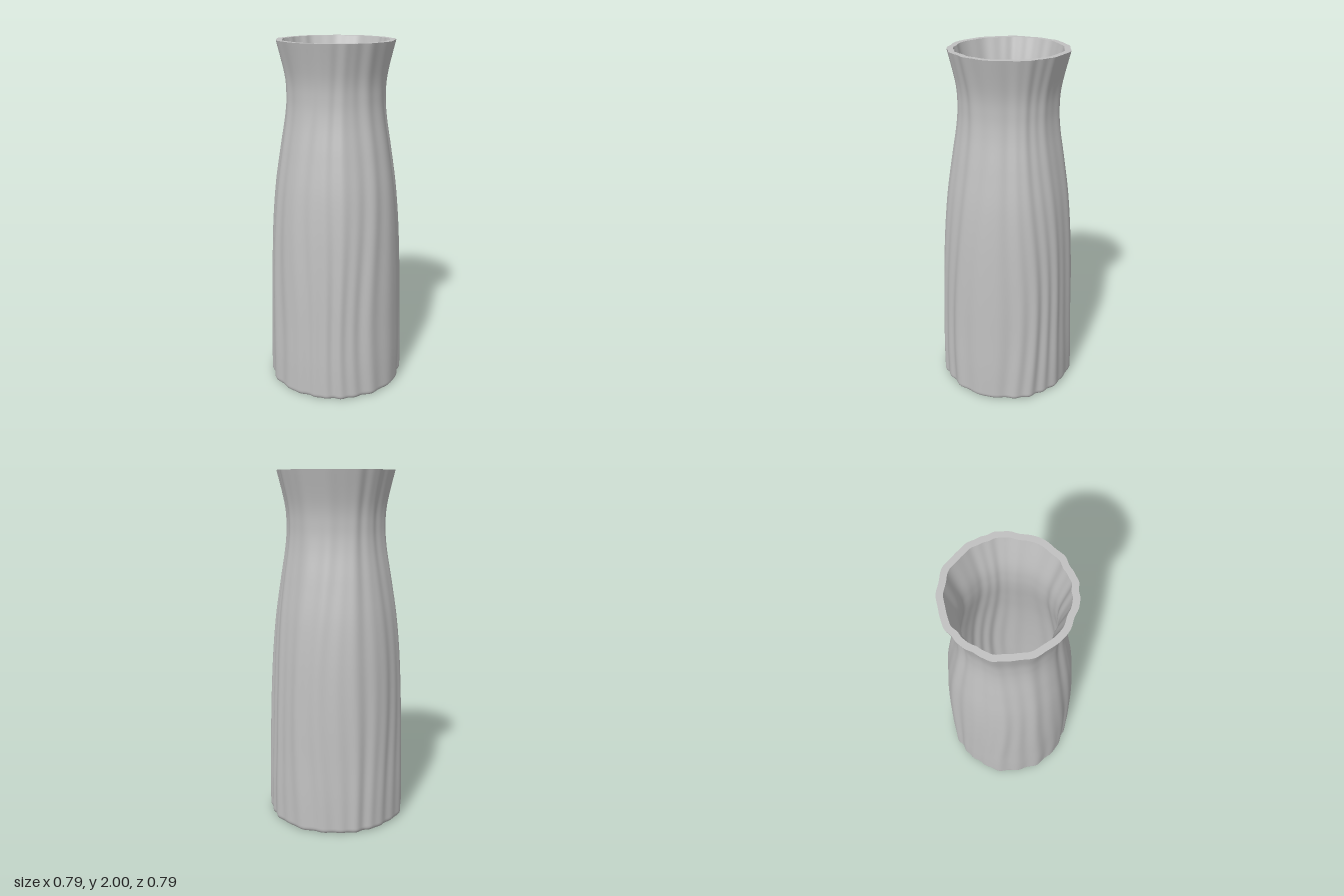
import * as THREE from 'three';

const SIDES = 288;

// Outer profile as (radius, height), with a small rounded foot
const outline = new THREE.SplineCurve([
  [0.392, 0.03], [0.391, 0.2], [0.386, 0.4], [0.381, 0.6], [0.373, 0.8], [0.361, 1.0], [0.342, 1.2],
  [0.313, 1.4], [0.285, 1.58], [0.277, 1.7], [0.286, 1.82], [0.328, 2.0],
].map(([r, y]) => new THREE.Vector2(r, y)));
const wall = outline.getPoints(90);
const foot = [[0.374, 0], [0.383, 0.003], [0.389, 0.011], [0.392, 0.02]]
  .map(([r, y]) => new THREE.Vector2(r, y));
const THICKNESS = 0.034;

// Irregular vertical flutes that wander and grow deeper towards the foot
function flutes(angle, y) {
  const a = angle + 0.05 * Math.sin(2.3 * y + 2 * angle) + 0.03 * Math.sin(4.1 * y - 3 * angle + 1);
  const low = 1 - THREE.MathUtils.smoothstep(y, 0.2, 1.7);
  const broad = 0.0035 * Math.sin(13 * a + 1.2 * Math.sin(2 * a)) + 0.0022 * Math.sin(7 * a + 2);
  const fine = Math.sin(24 * a + 1.6 * Math.sin(3 * a + 0.5)) * (0.7 + 0.3 * Math.sin(4 * a + 1));
  return broad + fine * (0.002 + 0.0035 * low);
}

// Wraps rows of { r, y, ripple } round the axis into one smooth surface
function surface(rows) {
  const positions = [], index = [];
  rows.forEach(({ r, y, ripple, level = y }, i) => {
    for (let j = 0; j < SIDES; j++) {
      const a = (j / SIDES) * Math.PI * 2;
      const radius = r + ripple * flutes(a, level);
      positions.push(radius * Math.sin(a), y, radius * Math.cos(a) - 0.002 * y * y);
      if (i === 0) continue;
      const k = (j + 1) % SIDES, p = (i - 1) * SIDES, q = i * SIDES;
      index.push(p + j, p + k, q + k, p + j, q + k, q + j);
    }
  });
  const geometry = new THREE.BufferGeometry();
  geometry.setAttribute('position', new THREE.Float32BufferAttribute(positions, 3));
  geometry.setIndex(index);
  geometry.computeVertexNormals();
  return geometry;
}

export function createModel() {
  const vase = new THREE.Group();
  vase.name = 'vase';
  const ceramic = new THREE.MeshStandardMaterial({ color: 0xc0c0c0 });
  ceramic.name = 'grey ceramic';

  const add = (name, rows) => {
    const mesh = new THREE.Mesh(surface(rows), ceramic);
    mesh.name = name;
    vase.add(mesh);
  };

  const outer = [...foot, ...wall].map(({ x, y }) => ({ r: x, y, ripple: 1 }));
  const inner = wall.filter(p => p.y > 0.04)
    .map(({ x, y }) => ({ r: x - THICKNESS, y, ripple: 0.9 })).reverse();
  const lip = outer[outer.length - 1];
  const floorEdge = inner[inner.length - 1];

  add('outerWall', outer);
  add('rim', [lip, inner[0]]);
  add('innerWall', inner);
  add('innerFloor', [floorEdge, { r: 0, y: floorEdge.y, ripple: 0 }]);
  add('base', [{ r: 0, y: 0, ripple: 0 }, outer[0]]);
  return vase;
}
